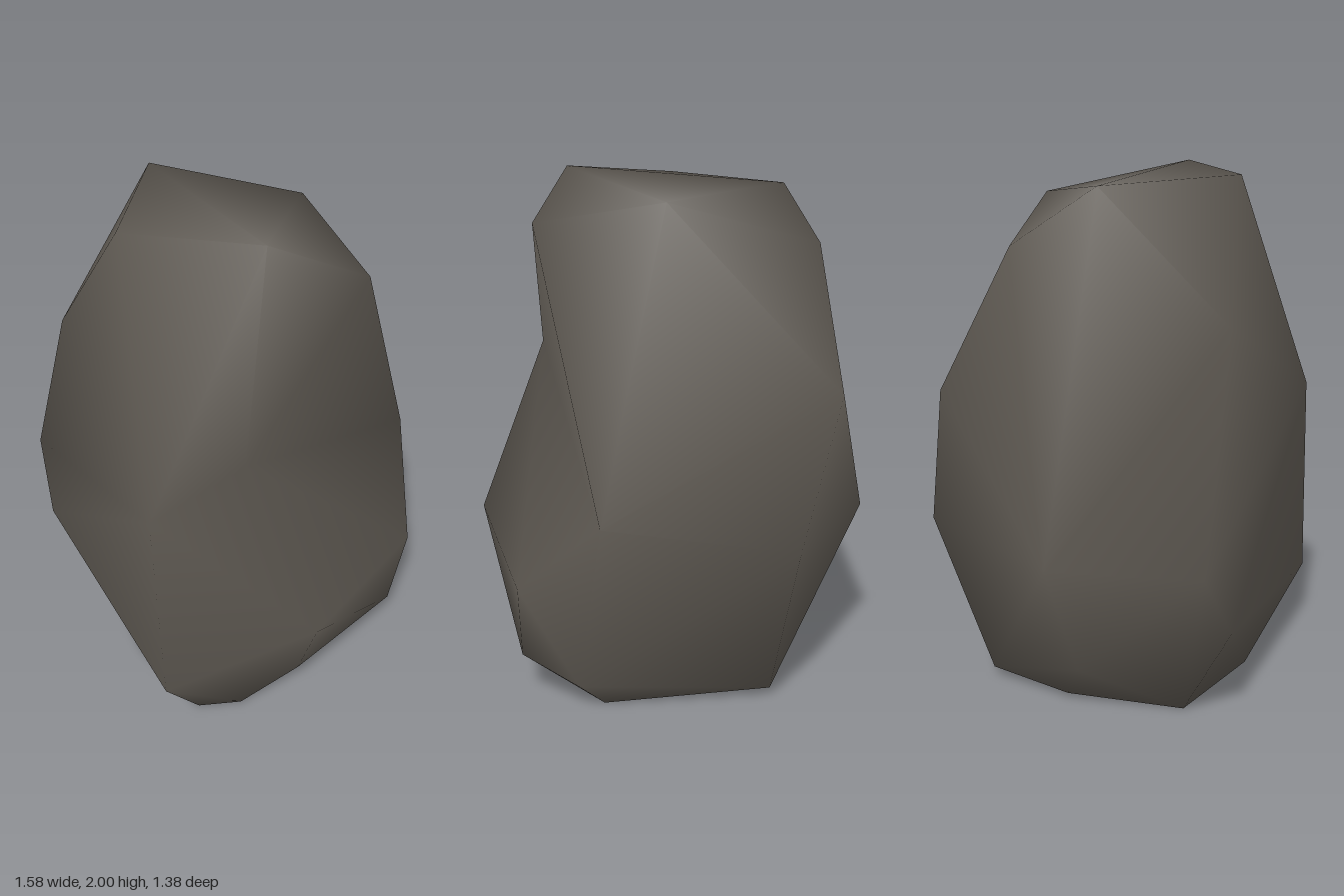
import * as THREE from 'three';

// Corners shared by neighbouring rings
const backBulge = [.23, .81, -.69];
const frontRightHeel = [.48, .28, .69];
const frontRightChest = [.42, 1.11, .68];
const leftBulge = [-.79, .66, 0];
const frontLeftKnee = [-.54, .41, .61];
const peak = [.39, 2, .17];
const frontPeak = [-.02, 1.965, .48];
const leftPeak = [-.45, 1.94, .08];
const backFoot = [.24, 0, -.43];
const frontFoot = [.04, 0, .54];
const leftFoot = [-.40, 0, .40];
const backLeftFoot = [-.40, .04, -.385];

// Uneven rings from the ground up; each runs back, back-right, right, front-right, front, front-left, left, back-left.
// A ring may reuse a corner, which closes that facet to a triangle.
const rings = [
  [backFoot, backFoot, [.515, 0, .36], [.43, 0, .51], frontFoot, leftFoot, [-.475, .025, -.04], backLeftFoot],
  [[.33, .1, -.49], [.556, .185, -.39], [.63, .19, .16], frontRightHeel, frontFoot, leftFoot, [-.6, .2, .05], backLeftFoot],
  [backBulge, [.555, .49, -.47], [.785, .58, .21], frontRightHeel, frontLeftKnee, [-.71, .67, .55], leftBulge, [-.48, .68, -.585]],
  [backBulge, backBulge, [.525, 1.27, .35], frontRightChest, frontRightChest, [-.37, 1.465, .54], leftBulge, [-.63, 1.23, -.45]],
  [[0, 1.89, -.29], [.49, 1.81, -.19], peak, peak, frontPeak, frontPeak, leftPeak, [-.56, 1.74, -.2]],
];

// Facets whose crease leans the other way, as columns for each pair of rings
const flipped = [[1], [4, 5, 6, 7], [4], [1]];

// Facets of the sloping top, as columns of the last ring
const topFacets = [[6, 0, 7], [6, 2, 0], [0, 2, 1], [6, 4, 2]];

// Skin the rings with shared vertices, so the normals are smooth
function skin() {
  const corners = [...new Set(rings.flat())];
  const index = [];
  const face = (...p) => {
    if (new Set(p).size === 3) index.push(...p.map((q) => corners.indexOf(q)));
  };
  for (let r = 0; r < rings.length - 1; r++) {
    for (let c = 0; c < 8; c++) {
      const next = (c + 1) % 8;
      const a = rings[r][c], b = rings[r][next], d = rings[r + 1][c], e = rings[r + 1][next];
      if (flipped[r].includes(c)) {
        face(a, d, b);
        face(b, d, e);
      } else {
        face(a, e, b);
        face(a, d, e);
      }
    }
  }
  // Flat foot and sloping top
  const foot = rings[0], crown = rings[rings.length - 1];
  for (let c = 1; c < 7; c++) face(foot[0], foot[c], foot[c + 1]);
  for (const facet of topFacets) face(...facet.map((c) => crown[c]));

  const geometry = new THREE.BufferGeometry();
  geometry.setAttribute('position', new THREE.Float32BufferAttribute(corners.flat(), 3));
  geometry.setIndex(index);
  geometry.computeVertexNormals();
  return geometry;
}

export function createModel() {
  const group = new THREE.Group();
  group.name = 'boulder';
  const stone = new THREE.MeshStandardMaterial({ color: 0x5c5750 });
  stone.name = 'dark stone';

  // Single weathered stone
  const rock = new THREE.Mesh(skin(), stone);
  rock.name = 'rock';
  group.add(rock);
  return group;
}
